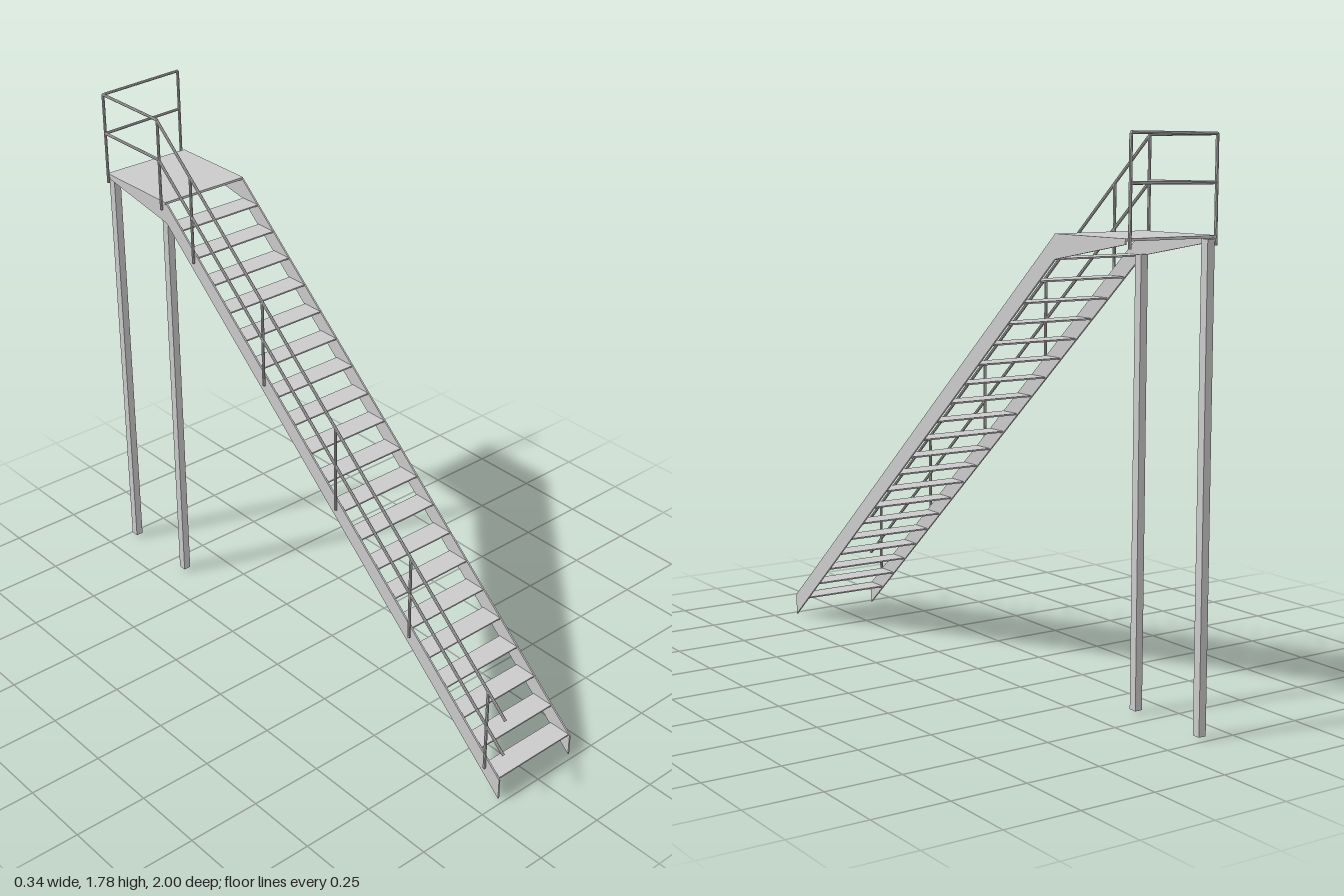
import * as THREE from 'three';

export function createModel() {
  const model = new THREE.Group();
  const material = new THREE.MeshStandardMaterial({ color: 0xcccccc, flatShading: true });

  const add = (parent, name, geometry, x = 0, y = 0, z = 0) => {
    const mesh = new THREE.Mesh(geometry, material);
    mesh.name = name;
    mesh.position.set(x, y, z);
    parent.add(mesh);
    return mesh;
  };
  const group = (name) => {
    const g = new THREE.Group();
    g.name = name;
    model.add(g);
    return g;
  };
  // Straight round bar between two points
  const bar = (parent, name, a, b, radius = 0.005) => {
    const from = new THREE.Vector3(...a), to = new THREE.Vector3(...b);
    const dir = to.clone().sub(from);
    const mesh = add(parent, name, new THREE.CylinderGeometry(radius, radius, dir.length(), 8));
    mesh.position.copy(from).add(to).multiplyScalar(0.5);
    mesh.quaternion.setFromUnitVectors(new THREE.Vector3(0, 1, 0), dir.normalize());
  };

  // Side plates: sloping flight, then a tapered bracket under the landing
  const plate = new THREE.Shape([
    [0.98, 0], [0.98, 0.075], [-0.655, 1.488], [-0.985, 1.488], [-0.985, 1.473], [-0.655, 1.415],
  ].map(([z, y]) => new THREE.Vector2(-z, y)));
  const plateGeometry = new THREE.ExtrudeGeometry(plate, { depth: 0.006, bevelEnabled: false });
  plateGeometry.translate(0, 0, -0.003).rotateY(Math.PI / 2);
  const stringers = group('stringers');
  add(stringers, 'leftStringer', plateGeometry, 0.164);
  add(stringers, 'rightStringer', plateGeometry, -0.158);

  // Open treads
  const treads = group('treads');
  const treadGeometry = new THREE.BoxGeometry(0.32, 0.005, 0.079);
  for (let i = 0; i < 20; i++) {
    add(treads, 'tread', treadGeometry, 0.003, 0.077 + i * 0.0704, 0.936 - i * 0.0814);
  }

  // Landing
  add(model, 'landing', new THREE.BoxGeometry(0.33, 0.008, 0.332), 0.002, 1.486, -0.821);

  // Support columns under the right side of the landing
  const columns = group('columns');
  for (const [z, top] of [[-0.67, 1.42], [-0.972, 1.48]]) {
    add(columns, 'column', new THREE.BoxGeometry(0.026, top - 0.01, 0.028), -0.143, (top + 0.01) / 2, z);
  }

  // Handrail along the flight and around the landing
  const railing = group('railing');
  const railX = -0.167;
  const slope = (1.775 - 0.325) / 1.675;
  const topAt = (z) => 0.325 + (1 - z) * slope;
  for (const z of [0.92, 0.565, 0.21, -0.146, -0.505]) {
    bar(railing, 'railPost', [railX, topAt(z) - 0.305, z], [railX, topAt(z), z]);
  }
  bar(railing, 'landingPost', [railX, 1.46, -0.672], [railX, 1.775, -0.672]);
  bar(railing, 'cornerPost', [railX, 1.46, -0.977], [railX, 1.778, -0.977]);
  bar(railing, 'endPost', [0.157, 1.46, -0.994], [0.157, 1.778, -0.994]);
  for (const [name, start, height] of [['topRail', 0.325, 1.775], ['midRail', 0.19, 1.637]]) {
    bar(railing, name, [railX, start, 0.998], [railX, height, -0.675]);
    bar(railing, name, [railX, height, -0.675], [railX, height + 0.002, -0.977]);
    bar(railing, name, [railX, height + 0.002, -0.977], [0.157, height + 0.005, -0.994]);
  }

  return model;
}
